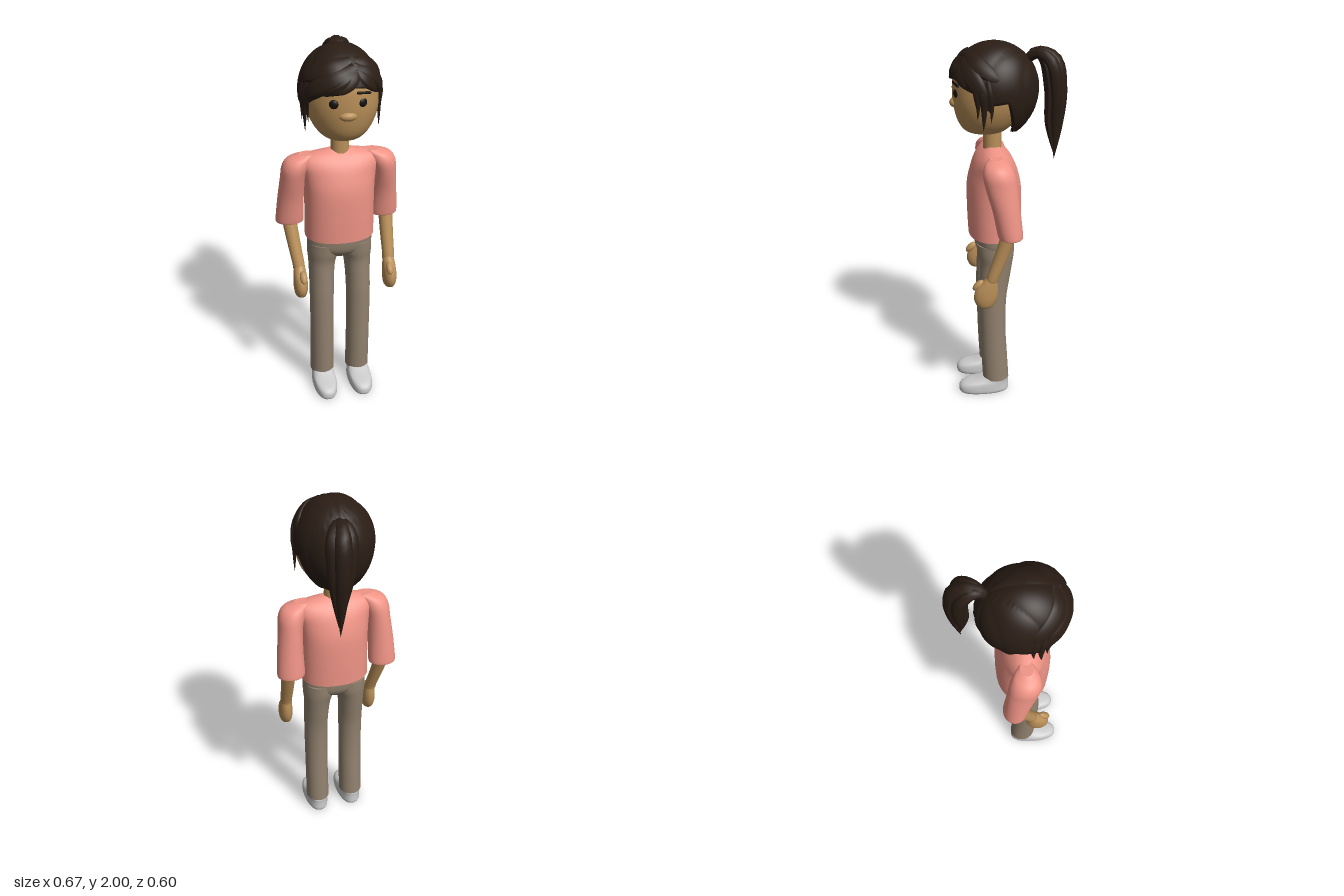
import * as THREE from 'three';

const mat = (color, side = THREE.FrontSide) => new THREE.MeshStandardMaterial({ color, side });
const skin = mat(0xb98f58), cloth = mat(0xf09486), trouser = mat(0x92826f),
  white = mat(0xcccccc), dark = mat(0x16100c), hairMat = mat(0x2a1d15, THREE.DoubleSide);

function add(group, name, geometry, material) {
  const mesh = new THREE.Mesh(geometry, material);
  mesh.name = name;
  group.add(mesh);
  return mesh;
}

// Closed surface through rings of points, listed from bottom to top
function skinRings(rings) {
  const n = rings[0].length, index = [];
  for (let i = 0; i < rings.length - 1; i++) {
    for (let j = 0; j < n; j++) {
      const k = (j + 1) % n, a = i * n + j, b = i * n + k;
      index.push(a, b, a + n, b, b + n, a + n);
    }
  }
  const g = new THREE.BufferGeometry().setFromPoints(rings.flat());
  g.setIndex(index);
  g.computeVertexNormals();
  return g;
}

// Smooth loft through horizontal sections [x, y, z, rx, rz]; power < 1 squares the outline
function loft(sections, power = 1, steps = 5, n = 32) {
  const centre = new THREE.CatmullRomCurve3(sections.map(s => new THREE.Vector3(s[0], s[1], s[2])), false, 'catmullrom');
  const radius = new THREE.CatmullRomCurve3(sections.map(s => new THREE.Vector3(s[3], s[4], 0)), false, 'catmullrom');
  const count = (sections.length - 1) * steps;
  const pw = v => Math.sign(v) * Math.abs(v) ** power;
  const ring = (t, k) => {
    const c = centre.getPoint(t), r = radius.getPoint(t);
    return Array.from({ length: n }, (_, j) => {
      const u = j / n * Math.PI * 2;
      return new THREE.Vector3(c.x + k * r.x * pw(Math.sin(u)), c.y, c.z + k * r.y * pw(Math.cos(u)));
    });
  };
  const rings = [ring(0, 0), ring(0, 1)];
  for (let i = 0; i <= count; i++) rings.push(ring(i / count, 1));
  rings.push(ring(1, 1), ring(1, 0));
  return skinRings(rings);
}

function ball(group, name, material, pos, scale, rot = [0, 0, 0]) {
  const m = add(group, name, new THREE.SphereGeometry(1, 28, 20), material);
  m.position.set(...pos);
  m.scale.set(...scale);
  m.rotation.set(...rot);
  return m;
}

// Point on the hair volume at an azimuth (degrees from the front) and height
const hairCentre = new THREE.Vector3(0.003, 1.77, 0.07);
function hairPoint(deg, y, k = 1, ySize = y) {
  const a = deg * Math.PI / 180, d = ySize - hairCentre.y;
  const s = k * Math.sqrt(Math.max(0, 1 - (d / (d > 0 ? 0.23 : 0.27)) ** 2));
  return new THREE.Vector3(hairCentre.x + 0.207 * s * Math.sin(a), y, hairCentre.z + 0.23 * s * Math.cos(a));
}

// Tapered lock of hair, flattened toward the head
function lock(points, width, flat) {
  const seg = 24, sides = 10, curve = new THREE.CatmullRomCurve3(points);
  const g = new THREE.TubeGeometry(curve, seg, 1, sides);
  const pos = g.attributes.position, v = new THREE.Vector3();
  for (let i = 0; i <= seg; i++) {
    const t = i / seg, c = curve.getPointAt(t);
    const out = c.clone().sub(hairCentre).normalize();
    const r = width * (t < 0.35 ? 0.45 + 0.55 * Math.sin(t / 0.35 * Math.PI / 2) : Math.cos((t - 0.35) / 0.65 * Math.PI / 2));
    for (let j = 0; j <= sides; j++) {
      const q = i * (sides + 1) + j;
      v.fromBufferAttribute(pos, q).sub(c);
      v.addScaledVector(out, (flat - 1) * v.dot(out)).multiplyScalar(r).add(c);
      pos.setXYZ(q, v.x, v.y, v.z);
    }
  }
  g.computeVertexNormals();
  return g;
}

// Cap of hair: hairline height varies round the head, with combed ridges
function hairCap() {
  const n = 120, rows = 28, rings = [];
  const line = [[0, 1.84], [40, 1.82], [60, 1.78], [72, 1.70], [84, 1.72], [104, 1.73], [116, 1.62], [130, 1.55], [181, 1.53]];
  const hairline = deg => {
    const d = Math.abs(deg), i = line.findIndex(p => p[0] > d), [a, b] = [line[i - 1], line[i]];
    return THREE.MathUtils.lerp(a[1], b[1], (d - a[0]) / (b[0] - a[0]));
  };
  for (let i = -1; i <= rows; i++) {
    const ring = [];
    for (let j = 0; j < n; j++) {
      const deg = j / n * 360 - 180, low = hairline(deg);
      const start = Math.asin((low - 1.77) / (low > 1.77 ? 0.23 : 0.27));
      const lat = THREE.MathUtils.lerp(start, Math.PI / 2, Math.max(i, 0) / rows);
      const y = 1.77 + Math.sin(lat) * (lat > 0 ? 0.23 : 0.27);
      const p = hairPoint(deg, y, i < 0 ? 0.86 : 1);
      const comb = Math.atan2(p.x - 0.02, p.z + 0.11);
      const ridge = 0.98 + 0.03 * Math.sqrt(Math.abs(Math.sin(comb * 5)));
      ring.push(p.sub(hairCentre).multiplyScalar(ridge).add(hairCentre));
    }
    rings.push(ring);
  }
  return skinRings(rings);
}

function buildHead(group) {
  add(group, 'neck', new THREE.CylinderGeometry(0.047, 0.049, 0.16, 28), skin).position.set(0.005, 1.5, 0.08);
  add(group, 'head', loft([
    [0.01, 1.53, 0.118, 0.04, 0.05], [0.01, 1.55, 0.116, 0.1, 0.108], [0.01, 1.6, 0.11, 0.146, 0.15],
    [0.01, 1.68, 0.1, 0.18, 0.18], [0.01, 1.76, 0.095, 0.19, 0.19], [0.01, 1.84, 0.09, 0.18, 0.185],
    [0.01, 1.91, 0.085, 0.13, 0.14], [0.01, 1.96, 0.08, 0.03, 0.03]]), skin);
  ball(group, 'nose', skin, [0.003, 1.693, 0.272], [0.045, 0.024, 0.028]);
  for (const s of [-1, 1]) {
    ball(group, 'eye', dark, [0.004 + s * 0.072, 1.757, 0.268], [0.023, 0.023, 0.012], [0, s * 0.35, 0]);
    const brow = add(group, 'eyebrow', new THREE.CapsuleGeometry(0.007, 0.065, 4, 8), dark);
    brow.position.set(0.004 + s * 0.077, 1.806, 0.27);
    brow.rotation.set(0, s * 0.3, Math.PI / 2 - s * 0.12);
  }
}

function buildHair(group) {
  add(group, 'hairCap', hairCap(), hairMat);
  // Swept fringe: [azimuth, height] paths from the parting, then width
  const fringe = [
    [[[16, 1.92], [-15, 1.88], [-45, 1.83], [-66, 1.76], [-76, 1.66]], 0.05],
    [[[16, 1.91], [-8, 1.87], [-32, 1.83], [-56, 1.78]], 0.042],
    [[[18, 1.91], [6, 1.87], [-10, 1.83], [-28, 1.81]], 0.034],
    [[[18, 1.92], [40, 1.89], [60, 1.83], [72, 1.76], [80, 1.68]], 0.048],
    [[[18, 1.91], [28, 1.87], [40, 1.83], [56, 1.78]], 0.036],
    [[[12, 1.95], [-30, 1.92], [-70, 1.87], [-105, 1.82]], 0.05],
    [[[18, 1.95], [50, 1.92], [80, 1.87], [105, 1.82]], 0.045]];
  for (const [path, w] of fringe) {
    add(group, 'fringeLock', lock(path.map(([a, y]) => hairPoint(a, y, 0.98)), w, 0.4), hairMat);
  }
  // Loose strands in front of the ears
  for (const s of [-1, 1]) {
    for (const [a, tip, w] of [[62, 1.64, 0.016], [70, 1.585, 0.02], [80, 1.63, 0.016]]) {
      const path = [[a - 4, 1.86], [a, 1.78], [a + 2, 1.7], [a + 1, tip]];
      add(group, 'sideStrand', lock(path.map(([d, y]) => hairPoint(s * d, y, 1, Math.max(y, 1.7))), w, 0.5), hairMat);
    }
  }
  // Ponytail of overlapping locks
  for (const [dx, z, tip, w] of [[-0.04, -0.235, 1.46, 0.036], [0.005, -0.262, 1.38, 0.045], [0.045, -0.24, 1.43, 0.036], [0.005, -0.215, 1.41, 0.038]]) {
    const path = [[0.025, 1.90, -0.09], [0.035 + dx * 0.4, 1.945, -0.145], [0.047 + dx, 1.91, z + 0.03],
      [0.055 + dx, 1.76, z], [0.06 + dx * 0.6, 1.58, z + 0.005], [0.062 + dx * 0.2, tip, -0.237]];
    add(group, 'ponytailLock', lock(path.map(p => new THREE.Vector3(...p)), w, 0.9), hairMat);
  }
}

function buildArm(group, s) {
  const side = s > 0 ? 'left' : 'right';
  const x = v => 0.003 + s * v;
  const wrist = s > 0 ? 0.27 : 0.232, elbow = s > 0 ? 0.272 : 0.268;
  add(group, side + 'Sleeve', loft([
    [x(0.26), 1.035, 0.015, 0.07, 0.06], [x(0.26), 1.05, 0.016, 0.076, 0.066], [x(0.255), 1.18, 0.035, 0.07, 0.072],
    [x(0.245), 1.3, 0.058, 0.066, 0.082], [x(0.232), 1.37, 0.07, 0.071, 0.082], [x(0.21), 1.415, 0.075, 0.066, 0.065],
    [x(0.17), 1.44, 0.078, 0.045, 0.035]]), cloth);
  add(group, side + 'Forearm', loft([
    [x(wrist), 0.79, 0.115, 0.032, 0.032], [x(wrist + 0.002), 0.82, 0.107, 0.033, 0.034],
    [x((wrist + elbow) / 2), 0.93, 0.066, 0.036, 0.038], [x(elbow), 1.07, 0.018, 0.04, 0.042]]), skin);
  const hx = s > 0 ? 0.27 : 0.23;
  add(group, side + 'Hand', loft([
    [x(hx), 0.633, 0.152, 0.012, 0.02], [x(hx), 0.648, 0.152, 0.03, 0.044], [x(hx), 0.69, 0.15, 0.038, 0.062],
    [x(hx), 0.74, 0.142, 0.037, 0.06], [x(hx), 0.785, 0.126, 0.032, 0.04], [x(hx), 0.815, 0.112, 0.024, 0.028]]), skin);
  ball(group, side + 'Thumb', skin, [x(hx - 0.01), 0.765, 0.187], [0.02, 0.038, 0.02], [-0.8, 0, 0]);
}

function buildLeg(group, s) {
  const side = s > 0 ? 'left' : 'right';
  const x = v => 0.004 + s * v;
  add(group, side + 'TrouserLeg', loft([
    [x(0.104), 0.085, 0.082, 0.067, 0.074], [x(0.104), 0.25, 0.09, 0.066, 0.073], [x(0.104), 0.42, 0.096, 0.066, 0.071],
    [x(0.104), 0.6, 0.095, 0.067, 0.075], [x(0.102), 0.72, 0.084, 0.069, 0.082], [x(0.098), 0.81, 0.075, 0.075, 0.088],
    [x(0.09), 0.87, 0.075, 0.088, 0.098], [x(0.088), 0.93, 0.077, 0.088, 0.102]]), trouser);
  add(group, side + 'Shoe', loft([
    [x(0.104), 0, 0.152, 0.06, 0.137], [x(0.104), 0.014, 0.152, 0.066, 0.143], [x(0.104), 0.042, 0.151, 0.066, 0.141],
    [x(0.104), 0.062, 0.138, 0.064, 0.128], [x(0.104), 0.078, 0.105, 0.06, 0.096], [x(0.104), 0.095, 0.083, 0.058, 0.07]], 0.85), white);
}

export function createModel() {
  const model = new THREE.Group();
  model.name = 'standingFigure';
  const part = name => {
    const g = new THREE.Group();
    g.name = name;
    model.add(g);
    return g;
  };
  buildHead(part('headAndNeck'));
  buildHair(part('hair'));
  // Shirt body and hips
  add(model, 'shirt', loft([
    [0.003, 0.965, 0.073, 0.187, 0.142], [0.003, 1.1, 0.074, 0.186, 0.146], [0.003, 1.24, 0.075, 0.187, 0.144],
    [0.003, 1.33, 0.075, 0.196, 0.124], [0.003, 1.39, 0.076, 0.212, 0.098], [0.003, 1.43, 0.077, 0.19, 0.065],
    [0.003, 1.457, 0.078, 0.07, 0.03]], 0.9), cloth);
  add(model, 'hips', loft([
    [0.004, 0.845, 0.075, 0.05, 0.06], [0.004, 0.87, 0.076, 0.13, 0.088], [0.004, 0.91, 0.078, 0.174, 0.106],
    [0.004, 1.0, 0.08, 0.18, 0.112]], 0.9), trouser);
  const arms = part('arms'), legs = part('legs');
  for (const s of [-1, 1]) {
    buildArm(arms, s);
    buildLeg(legs, s);
  }
  return model;
}
